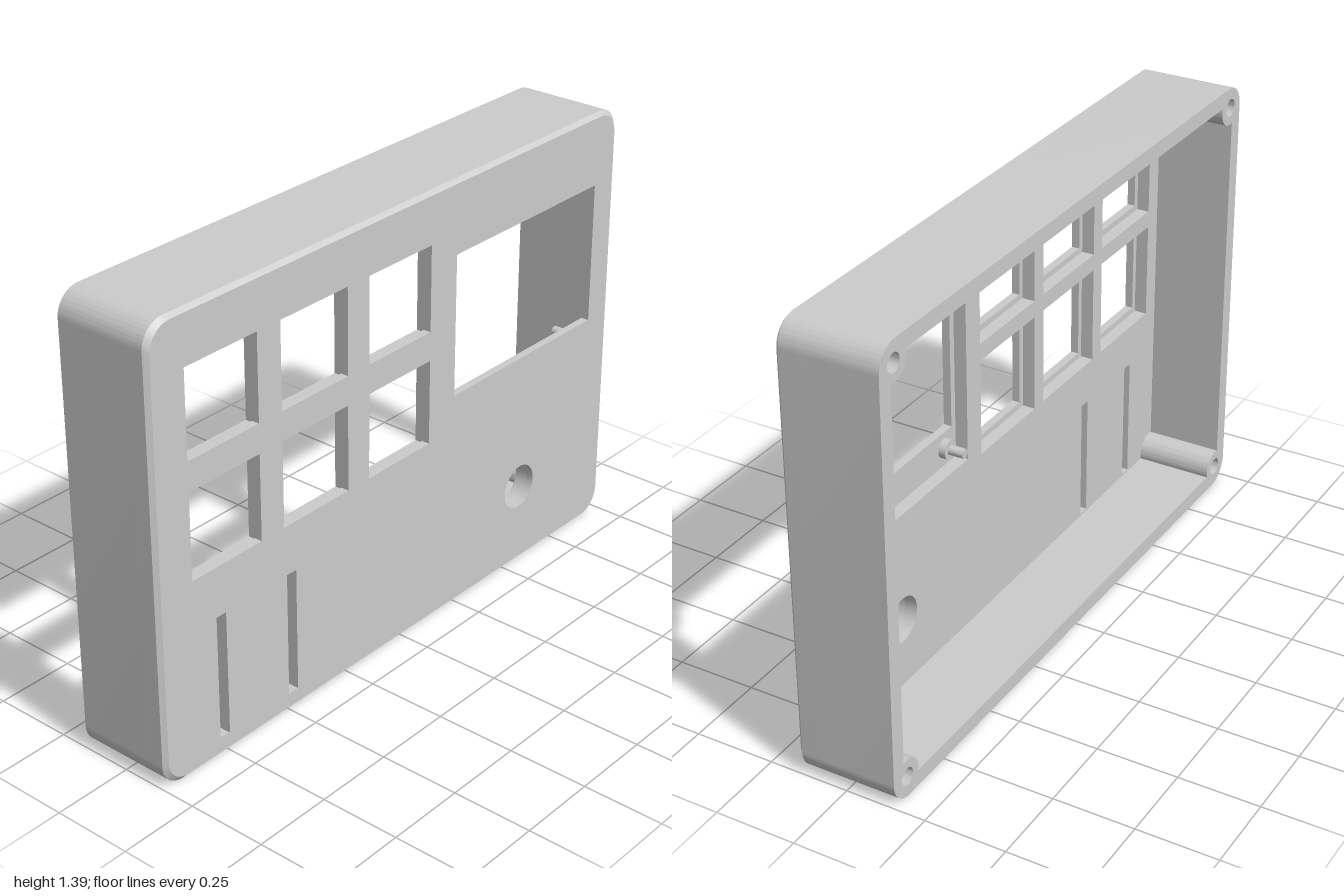
import * as THREE from 'three';
import { toCreasedNormals } from 'three/addons/utils/BufferGeometryUtils.js';

const W = 1, H = 0.6975, R = 0.075;            // half width, half height, corner radius
const Z = { back: -0.155, floor: 0.09, recess: 0.13, front: 0.155 };
const WALL = 0.05, BOSS_IN = 0.065, BOSS_R = 0.055, SCREW_R = 0.028;
const CHAMFER = 0.0125;

const mat = new THREE.MeshStandardMaterial({ color: 0xcccccc });

// Shapes are drawn about the panel centre; y arguments are heights above ground
function rect(x0, x1, y0, y1) {
  const p = new THREE.Path();
  p.moveTo(x0, y0 - H);
  p.lineTo(x1, y0 - H);
  p.lineTo(x1, y1 - H);
  p.lineTo(x0, y1 - H);
  p.closePath();
  return p;
}

function circle(x, y, r) {
  const p = new THREE.Path();
  p.absarc(x, y - H, r, 0, Math.PI * 2, false);
  return p;
}

const corners = [[-1, -1], [1, -1], [1, 1], [-1, 1]];

function outline() {
  const s = new THREE.Shape();
  corners.forEach(([sx, sy], k) => {
    const a = Math.PI + k * Math.PI / 2;
    s.absarc(sx * (W - R), sy * (H - R), R, a, a + Math.PI / 2, false);
  });
  s.closePath();
  return s;
}

// Cavity edge that bulges inward round the four screw bosses
function cavity() {
  const p = new THREE.Path();
  const a = Math.acos((WALL - BOSS_IN) / BOSS_R);
  corners.forEach(([sx, sy], k) => {
    const t = k * Math.PI / 2;
    p.absarc(sx * (W - BOSS_IN), sy * (H - BOSS_IN), BOSS_R, t + a, t + Math.PI / 2 - a, true);
  });
  p.closePath();
  return p;
}

function layer(name, holes, z0, z1, steps = 1, edit) {
  const shape = outline();
  shape.holes.push(...holes);
  const geo = new THREE.ExtrudeGeometry(shape, { depth: z1 - z0, steps, bevelEnabled: false, curveSegments: 14 });
  geo.translate(0, 0, z0);
  if (edit) edit(geo.attributes.position);
  geo.translate(0, H, 0);
  const mesh = new THREE.Mesh(toCreasedNormals(geo, 0.55), mat);
  mesh.name = name;
  return mesh;
}

// Pull the outer edge of the front face inward to make the chamfer
function chamferFront(pos) {
  for (let i = 0; i < pos.count; i++) {
    if (pos.getZ(i) < Z.front - 1e-4) continue;
    const x = pos.getX(i), y = pos.getY(i);
    const dx = Math.abs(x) - (W - R), dy = Math.abs(y) - (H - R);
    const d = Math.hypot(Math.max(dx, 0), Math.max(dy, 0)) - R;
    if (d > -0.01) pos.setXY(i, x * (1 - CHAMFER / W), y * (1 - CHAMFER / H));
  }
}

export function createModel() {
  const group = new THREE.Group();
  group.name = 'enclosureLid';

  // Button windows, each with a slightly larger recess behind
  const windows = [], windowRecesses = [];
  const half = 0.134, lip = 0.153;
  for (const x of [-0.737, -0.379, -0.021]) {
    for (const y of [0.741, 1.1]) {
      windows.push(rect(x - half, x + half, y - half, y + half));
      windowRecesses.push(rect(x - lip, x + lip, y - lip, y + lip));
    }
  }

  // Slots and knob hole pass straight through
  const through = () => [
    rect(-0.786, -0.749, 0.057, 0.452),
    rect(-0.505, -0.467, 0.057, 0.452),
    circle(0.564, 0.267, 0.072),
  ];

  // Side walls with screw bosses
  const screws = corners.map(([sx, sy]) => circle(sx * (W - BOSS_IN), H + sy * (H - BOSS_IN), SCREW_R));
  group.add(layer('sideWalls', [cavity(), ...screws], Z.back, Z.floor));

  // Inner layer of the face, with recesses for the buttons and display
  group.add(layer('recessedInnerPanel',
    [...windowRecesses, rect(0.207, 0.93, 0.61, 1.272), ...through()], Z.floor, Z.recess));

  // Outer layer of the face, with the visible openings
  group.add(layer('frontPanel',
    [...windows, rect(0.228, 0.898, 0.717, 1.166), ...through()], Z.recess, Z.front, 2, chamferFront));

  // Stepped posts that hold the display
  for (const x of [0.27, 0.853]) {
    for (const y of [0.668, 1.212]) {
      const post = new THREE.Group();
      post.name = 'displayPost';
      for (const [name, r, h] of [['postBase', 0.03, 0.022], ['postPin', 0.015, 0.07]]) {
        const part = new THREE.Mesh(new THREE.CylinderGeometry(r, r, h, 24), mat);
        part.name = name;
        part.rotation.x = -Math.PI / 2;
        part.position.z = -h / 2;
        post.add(part);
      }
      post.position.set(x, y, Z.recess);
      group.add(post);
    }
  }
  return group;
}
